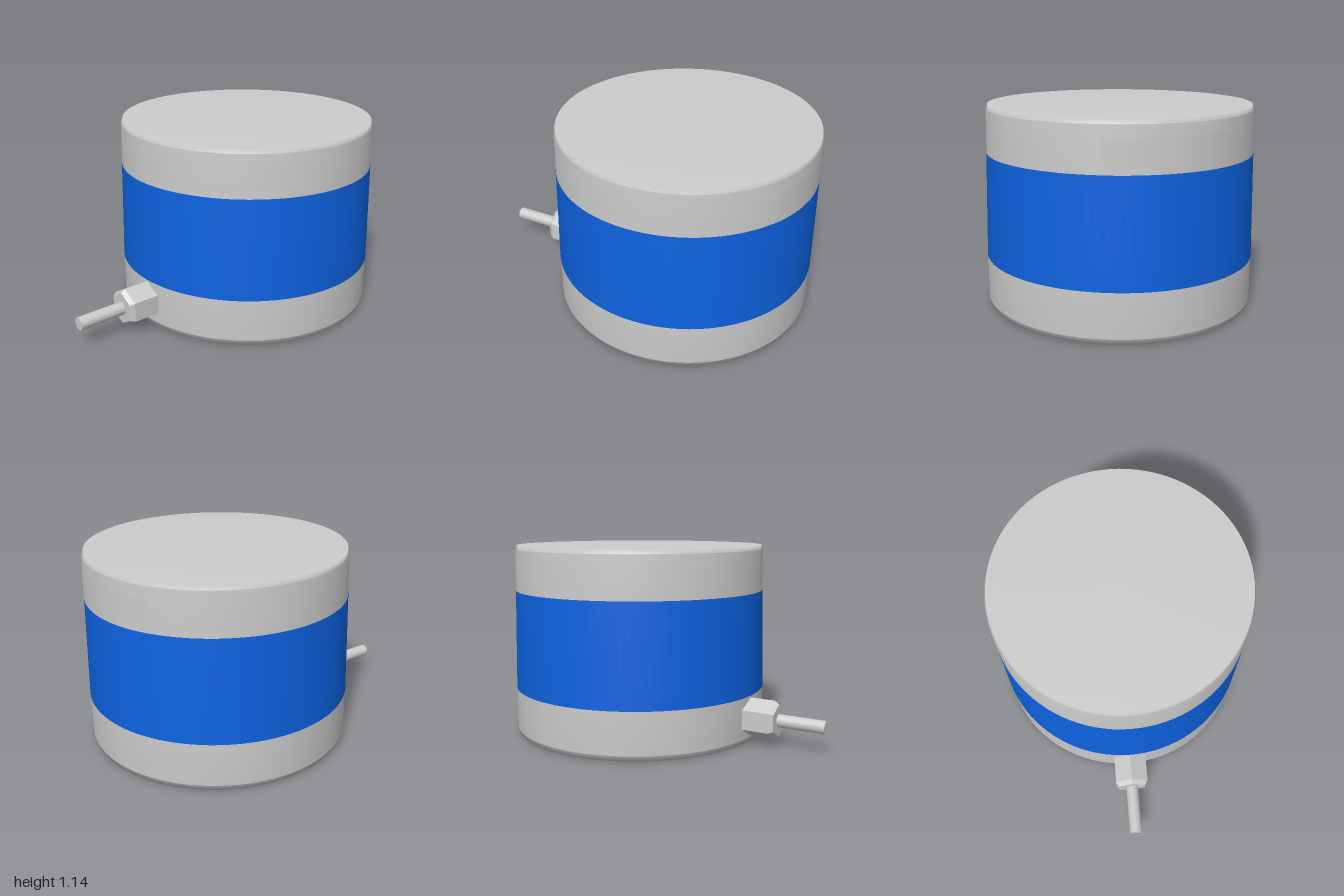
import * as THREE from 'three';

const grey = () => new THREE.MeshStandardMaterial({ color: 0xcccccc });

export function createModel() {
  const model = new THREE.Group();
  const bodyX = 0.23;

  function add(name, geometry, material, x = 0, y = 0) {
    const mesh = new THREE.Mesh(geometry, material);
    mesh.name = name;
    mesh.position.set(x, y, 0);
    model.add(mesh);
    return mesh;
  }

  // Turned sections of the round housing, profiles run outward and upward
  function turned(name, profile, material) {
    const points = profile.map(([r, y]) => new THREE.Vector2(r, y));
    return add(name, new THREE.LatheGeometry(points, 96), material, bodyX);
  }

  // Base: shallow conical underside with a small hub, then the stepped foot
  turned('base', [
    [0, 0.012], [0.025, 0.012], [0.025, 0.003], [0.57, 0.025], [0.67, 0.002],
    [0.755, 0], [0.755, 0.03], [0.767, 0.032], [0.766, 0.28],
  ], grey());

  // Coloured band with a slight taper
  const blue = new THREE.MeshStandardMaterial({ color: 0x0d62e0 });
  turned('colourBand', [
    [0.764, 0.279], [0.768, 0.28], [0.757, 0.87], [0.753, 0.871],
  ], blue);

  // Cap: straight wall, small step, flat lid with softly shaded rim
  turned('cap', [
    [0.756, 0.87], [0.753, 1.115], [0.744, 1.116], [0.744, 1.14], [0, 1.14],
  ], grey());

  // Thin raised plate on the left side of the cap
  const plateAngle = 0.53;
  const plate = new THREE.CylinderGeometry(
    0.756, 0.757, 0.18, 24, 1, true, Math.PI / 2 - plateAngle, plateAngle * 2);
  const plateMaterial = grey();
  plateMaterial.side = THREE.DoubleSide;
  add('sidePlate', plate, plateMaterial, bodyX, 0.96);

  // Hexagonal cable gland with a chamfered end, and the cable
  const alongX = (rEnd, rBody, length, sides) =>
    new THREE.CylinderGeometry(rEnd, rBody, length, sides, 1, false, Math.PI / 6)
      .rotateZ(Math.PI / 2);
  const hexMaterial = grey();
  hexMaterial.flatShading = true;
  add('cableGland', alongX(0.114, 0.114, 0.25, 6), hexMaterial, -0.565, 0.155);
  add('glandChamfer', alongX(0.096, 0.114, 0.027, 6), hexMaterial, -0.7035, 0.155);
  add('cable', alongX(0.038, 0.038, 0.32, 20), grey(), -0.84, 0.155);

  return model;
}
